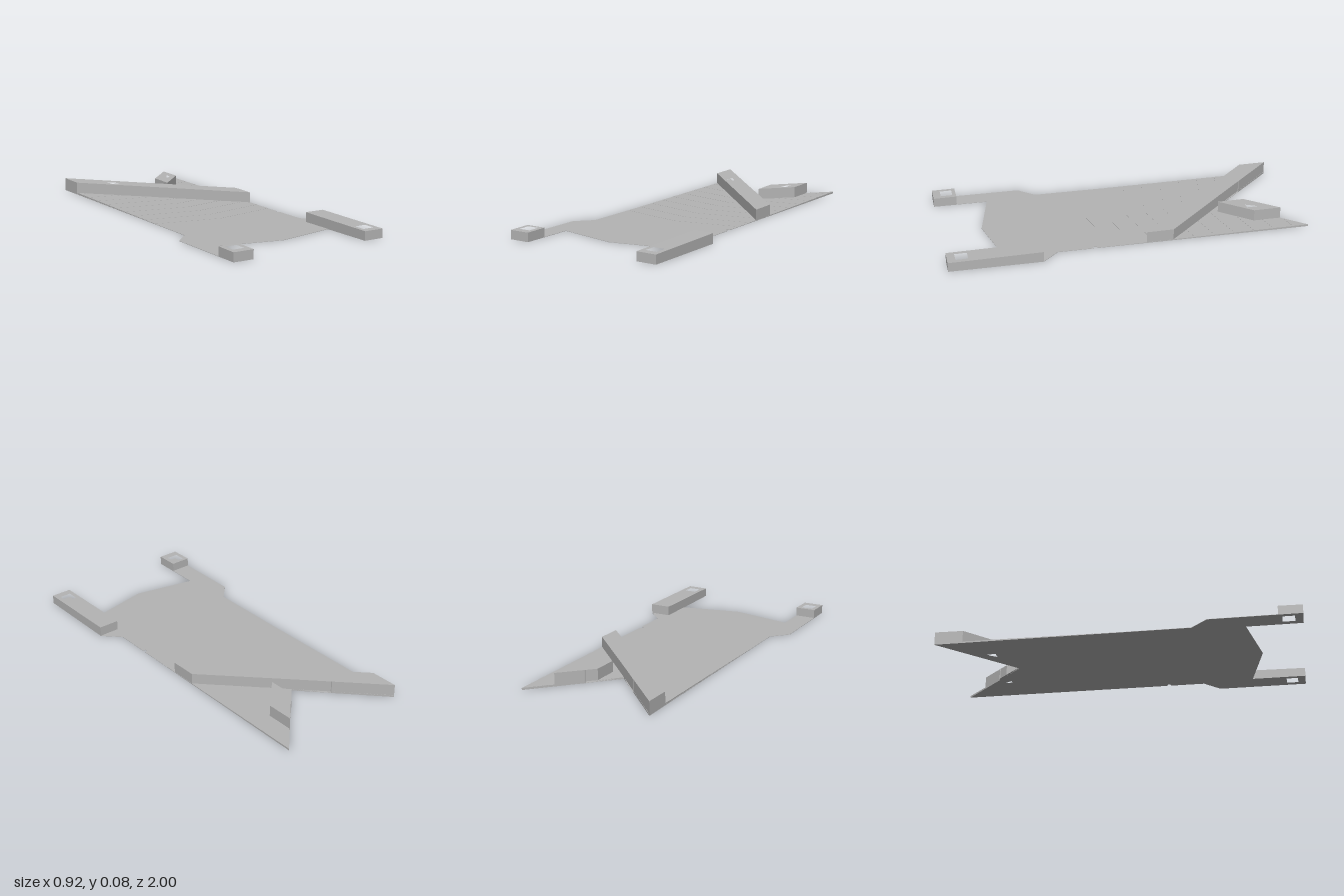
import * as THREE from 'three';

const BASE = 0.002;    // thickness of the flat part of the plate
const STEP = 0.0009;   // rise of each chevron terrace
const HOLE = 0.033;    // half size of the square holes
const backHoles = [[-0.177, -0.73], [0.175, -0.73]];
const frontHoles = [[-0.404, 0.924], [0.402, 0.924]];

// Slab from a plan outline of [x, z] points, with square holes, between two heights.
// topAt(z) optionally gives a sloping top.
function slab(points, holes, y0, y1, topAt) {
  const shape = new THREE.Shape(points.map(([x, z]) => new THREE.Vector2(x, -z)));
  for (const [x, z] of holes) {
    shape.holes.push(new THREE.Path([[-1, -1], [-1, 1], [1, 1], [1, -1]].map(
      ([a, b]) => new THREE.Vector2(x + a * HOLE, -z + b * HOLE))));
  }
  const geo = new THREE.ExtrudeGeometry(shape, { depth: y1 - y0, bevelEnabled: false });
  geo.rotateX(-Math.PI / 2);
  geo.translate(0, y0, 0);
  if (topAt) {
    const p = geo.attributes.position;
    for (let i = 0; i < p.count; i++) {
      if (p.getY(i) > (y0 + y1) / 2) p.setY(i, topAt(p.getZ(i)));
    }
    geo.computeVertexNormals();
  }
  return geo;
}

export function createModel() {
  const model = new THREE.Group();
  model.name = 'forkedPlate';
  const grey = new THREE.MeshStandardMaterial({ color: 0xb4b4b4 });
  grey.name = 'plain grey';
  const add = (name, geo) => {
    const mesh = new THREE.Mesh(geo, grey);
    mesh.name = name;
    model.add(mesh);
  };

  // Thin plate: swallowtail back, two front legs, small notch in the left edge
  add('basePlate', slab([
    [-0.375, -1], [0, -0.61], [0.372, -1],
    [0.372, 0.195], [0.356, 0.195], [0.356, 0.215], [0.372, 0.215],
    [0.372, 0.41], [0.461, 0.5], [0.461, 1], [0.345, 1], [0.345, 0.697],
    [0, 0.77], [-0.345, 0.697], [-0.345, 1], [-0.461, 1], [-0.461, 0.5], [-0.375, 0.41],
  ], [...backHoles, ...frontHoles], 0, BASE));

  // Shallow chevron terraces climbing toward the back, one half per side
  const tail = (x) => -0.61 - 1.04 * x;
  for (let k = 0; k < 10; k++) {
    const z = 0.106 - 0.113 * k;
    const chevron = (x) => z + 0.075 - 0.2 * x;
    const x0 = Math.max(0, (-0.685 - z) / 0.84);
    const x1 = 0.373;
    for (const side of [-1, 1]) {
      const pts = [[x0, tail(x0)], [x1, -1], [x1, chevron(x1)]];
      if (x0 === 0) pts.push([0, chevron(0)]);
      add('terrace', slab(pts.map(([x, zz]) => [side * x, zz]),
        k < 8 ? [backHoles[side < 0 ? 0 : 1]] : [], BASE + k * STEP, BASE + (k + 1) * STEP));
    }
  }

  // Raised blocks share one gently sloping top plane
  const slope = (z) => 0.05 + 0.0125 * (1 - z);
  const block = (name, pts, hole) => add(name, slab(pts, [hole], BASE, 0.05, slope));
  block('diagonalBeam',
    [[-0.375, -1], [0, -0.61], [0.372, -0.227], [0.372, -0.077], [-0.375, -0.842]], backHoles[0]);
  block('tailPad', [[0.255, -0.877], [0.255, -0.724], [0.097, -0.562], [0.097, -0.711]], backHoles[1]);
  block('leftLegBar', [[0.345, 0.5], [0.461, 0.5], [0.461, 1], [0.345, 1]], frontHoles[1]);
  block('rightLegBlock', [[-0.461, 0.87], [-0.345, 0.87], [-0.345, 1], [-0.461, 1]], frontHoles[0]);

  return model;
}
